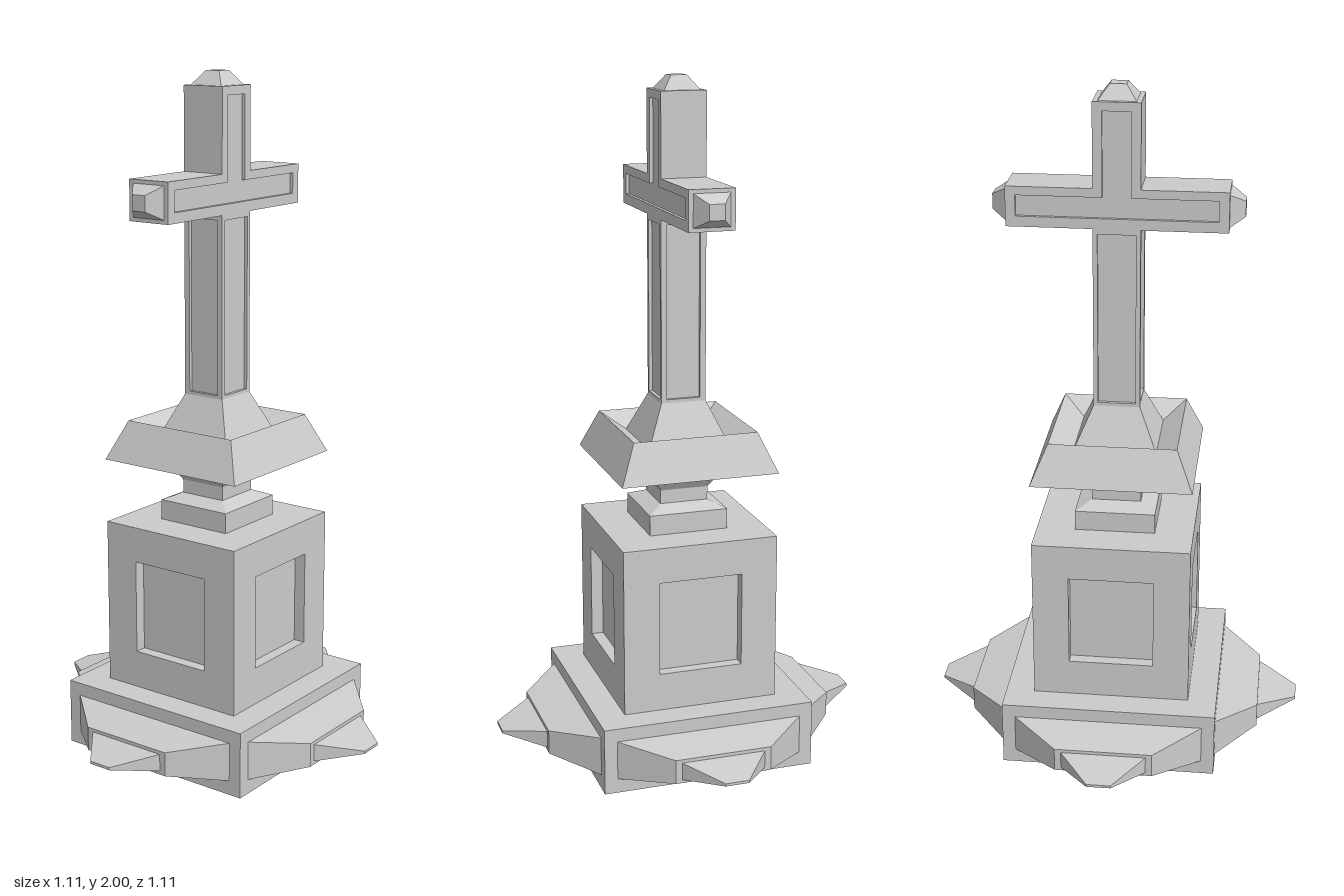
import * as THREE from 'three';

const material = new THREE.MeshStandardMaterial({ color: 0xcccccc, flatShading: true });

function add(parent, name, geometry) {
  const mesh = new THREE.Mesh(geometry, material);
  mesh.name = name;
  parent.add(mesh);
  return mesh;
}

// Box given by half width, half depth and its bottom and top heights
function block(hx, hz, y0, y1) {
  return new THREE.BoxGeometry(2 * hx, y1 - y0, 2 * hz).translate(0, (y0 + y1) / 2, 0);
}

// Tapered block growing along +z from a back rectangle to a front one (half sizes)
function taper(backW, backH, frontW, frontH, z0, z1) {
  const g = new THREE.BoxGeometry(2, 2, 1);
  const p = g.attributes.position;
  for (let i = 0; i < p.count; i++) {
    const front = p.getZ(i) > 0;
    p.setXYZ(i, p.getX(i) * (front ? frontW : backW),
      p.getY(i) * (front ? frontH : backH), front ? z1 : z0);
  }
  return g;
}

const points = (list) => list.map(([x, y]) => new THREE.Vector2(x, y));
const rect = (h, y0, y1) => points([[-h, y0], [h, y0], [h, y1], [-h, y1]]);

// Plate with openings whose outer face lies at the given distance, turned about y
function plate(outline, holes, depth, distance, angle) {
  const shape = new THREE.Shape(outline);
  holes.forEach((h) => shape.holes.push(new THREE.Path(h)));
  return new THREE.ExtrudeGeometry(shape, { depth, bevelEnabled: false })
    .translate(0, 0, distance - depth).rotateY(angle);
}

// Cross outline; the shaft below the arms may be narrower
function crossOutline(shaft) {
  const w = 0.067, a = 0.31, lo = 1.605, hi = 1.72;
  return points([[-shaft, 1.07], [shaft, 1.07], [shaft, lo], [a, lo], [a, hi], [w, hi],
    [w, 1.96], [-w, 1.96], [-w, hi], [-a, hi], [-a, lo], [-shaft, lo]]);
}

export function createModel() {
  const model = new THREE.Group();
  model.name = 'crossMonument';

  // Base slab with a stepped wedge on each side
  add(model, 'baseSlab', block(0.317, 0.317, 0, 0.198));
  for (let i = 0; i < 4; i++) {
    const wedge = new THREE.Group();
    wedge.name = 'baseWedge';
    wedge.position.y = 0.101;
    wedge.rotation.y = i * Math.PI / 2;
    add(wedge, 'wedgeBody', taper(0.28, 0.058, 0.143, 0.036, 0.316, 0.438));
    add(wedge, 'wedgeBlade', taper(0.125, 0.026, 0.035, 0.004, 0.437, 0.553));
    model.add(wedge);
  }

  // Pedestal: a core surrounded by four frames that leave sunken panels
  const half = 0.232, sink = 0.035;
  add(model, 'pedestalCore', block(half - sink, half - sink, 0.198, 0.695));
  for (let i = 0; i < 4; i++) {
    const w = i % 2 ? half - sink : half;
    add(model, 'pedestalFrame', plate(rect(w, 0.198, 0.695), [rect(0.125, 0.31, 0.59)],
      sink, half, i * Math.PI / 2));
  }

  // Square neck, flared cap with a dished top, and foot of the cross
  const profile = points([[0.118, 0.695], [0.118, 0.755], [0.072, 0.775], [0.072, 0.815],
    [0.095, 0.85], [0.234, 0.885], [0.185, 1.0], [0.12, 0.955], [0.067, 1.075], [0, 1.075]]);
  profile.forEach((p) => { p.x *= Math.SQRT2; });
  add(model, 'neckAndCap', new THREE.LatheGeometry(profile, 4, Math.PI / 4));

  // Cross with its arms along z: core, two side faces and the shaft's front and back
  const cross = new THREE.Group();
  cross.name = 'cross';
  model.add(cross);
  const w = 0.067, d = 0.01, core = w - d;
  add(cross, 'crossCore', plate(crossOutline(core), [], 2 * core, core, Math.PI / 2));
  const armPanel = points([[-0.282, 1.635], [0.282, 1.635], [0.282, 1.695], [0.04, 1.695],
    [0.04, 1.935], [-0.04, 1.935], [-0.04, 1.695], [-0.282, 1.695]]);
  const shaftPanel = rect(0.054, 1.085, 1.59);
  for (const s of [1, -1]) {
    add(cross, 'crossSideFace', plate(crossOutline(w), [armPanel, shaftPanel], d, w, s * Math.PI / 2));
    add(cross, 'shaftFrame', plate(rect(core, 1.07, 1.605), [rect(0.05, 1.085, 1.59)],
      d, w, s > 0 ? 0 : Math.PI));
    // Arm ends
    const end = add(cross, 'armEnd', taper(0.054, 0.047, 0.022, 0.022, 0.309, 0.353));
    end.position.y = 1.6625;
    end.rotation.y = s > 0 ? 0 : Math.PI;
  }
  add(cross, 'topEnd', taper(0.054, 0.054, 0.023, 0.023, 1.959, 2).rotateX(-Math.PI / 2));

  return model;
}
